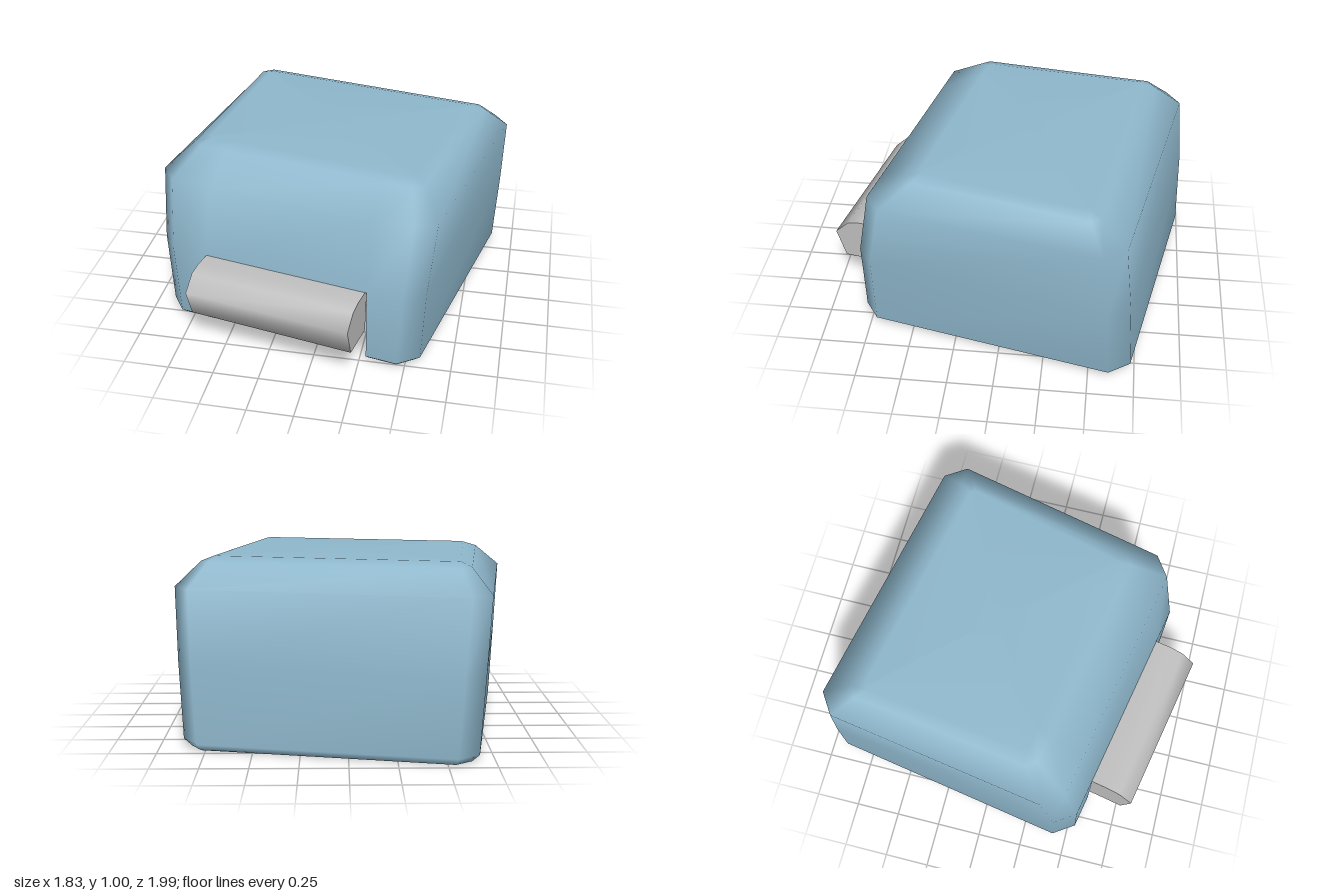
import * as THREE from 'three';
import { toCreasedNormals } from 'three/addons/utils/BufferGeometryUtils.js';

const CENTRE = -0.045; // middle of the housing across its width
const NOTCH = [-0.51, 0.43]; // ends of the front opening
const WALL = 0.07;

// Horizontal section: rectangle with cut corners, plus two points at the notch ends
function section({ y, f, b, hf, hb, c }) {
  const m = CENTRE;
  return [
    [m - hf + c, f], [NOTCH[0], f], [NOTCH[1], f], [m + hf - c, f],
    [m + hf, f - c], [m + hb, b + c], [m + hb - c, b],
    [m - hb + c, b], [m - hb, b + c], [m - hf, f - c],
  ].map(([x, z]) => [x, y, z]);
}

const inside = (s, y) => ({
  y, f: s.f - WALL, b: s.b + WALL, hf: s.hf - WALL, hb: s.hb - WALL, c: s.c,
});

function housingGeometry() {
  // Front, back, half widths and corner cut at each height
  const outer = [
    { y: 0, f: 0.645, b: -0.83, hf: 0.71, hb: 0.745, c: 0.075 },
    { y: 0.04, f: 0.688, b: -0.868, hf: 0.75, hb: 0.785, c: 0.1 },
    { y: 0.46, f: 0.688, b: -0.85, hf: 0.77, hb: 0.81, c: 0.1 },
    { y: 0.85, f: 0.607, b: -0.812, hf: 0.79, hb: 0.83, c: 0.1 },
    { y: 0.975, f: 0.41, b: -0.66, hf: 0.665, hb: 0.715, c: 0.05 },
    { y: 1, f: 0.342, b: -0.587, hf: 0.594, hb: 0.65, c: 0.02 },
  ];
  // Down the inside, round the rim and up the outside
  const rows = [
    { ...outer[5], y: 0.93 }, inside(outer[3], 0.8), inside(outer[2], 0.46), inside(outer[1], 0.06),
    ...outer,
  ].map(section);
  const n = 10, last = rows.length - 1;
  const positions = rows.flat(2), index = [];
  const add = (p) => positions.push(...p) / 3 - 1;

  for (let r = 0; r < last; r++) {
    for (let i = 0; i < n; i++) {
      if (i === 1 && r >= 2 && r < 6) continue; // front opening
      const j = (i + 1) % n, a = r * n, b = a + n;
      index.push(a + i, a + j, b + j, a + i, b + j, b + i);
    }
  }

  // Ceiling and roof
  const ceiling = add([CENTRE, 0.93, -0.12]), roof = add([CENTRE, 1, -0.12]);
  for (let i = 0; i < n; i++) {
    const j = (i + 1) % n;
    index.push(ceiling, j, i, roof, last * n + i, last * n + j);
  }

  // Flat faces lining the opening
  const face = (points) => {
    const ids = points.map(add);
    for (let k = 1; k < ids.length - 1; k++) index.push(ids[0], ids[k], ids[k + 1]);
  };
  const jamb = (column) => rows.slice(2, 7).map((row) => row[column]);
  face(jamb(1).reverse());
  face(jamb(2));
  face([rows[2][1], rows[2][2], rows[6][2], rows[6][1]]);

  const geometry = new THREE.BufferGeometry();
  geometry.setAttribute('position', new THREE.Float32BufferAttribute(positions, 3));
  geometry.setIndex(index);
  geometry.computeVertexNormals();
  return geometry;
}

// Bar with a rounded nose filling the top of the opening
function barGeometry() {
  const profile = [[0.66, 0.46], [0.68, 0.21], [0.885, 0.21], [0.936, 0.37], [0.855, 0.447], [0.78, 0.462]];
  const shape = new THREE.Shape(profile.map(([z, y]) => new THREE.Vector2(z, y)));
  const geometry = new THREE.ExtrudeGeometry(shape, { depth: 0.93, bevelEnabled: false });
  geometry.rotateY(-Math.PI / 2).translate(0.42, 0, 0);
  return toCreasedNormals(geometry, 1.32);
}

export function createModel() {
  const blue = new THREE.MeshStandardMaterial({ color: 0x8fb8cd });
  blue.name = 'pale blue';
  const grey = new THREE.MeshStandardMaterial({ color: 0xbfbfbf });
  grey.name = 'light grey';

  const model = new THREE.Group();
  model.name = 'notchedCover';
  const turned = new THREE.Group();
  turned.name = 'cover';
  turned.rotation.y = -0.195;
  model.add(turned);

  const housing = new THREE.Mesh(housingGeometry(), blue);
  housing.name = 'housing';
  const bar = new THREE.Mesh(barGeometry(), grey);
  bar.name = 'frontBar';
  turned.add(housing, bar);
  return model;
}
